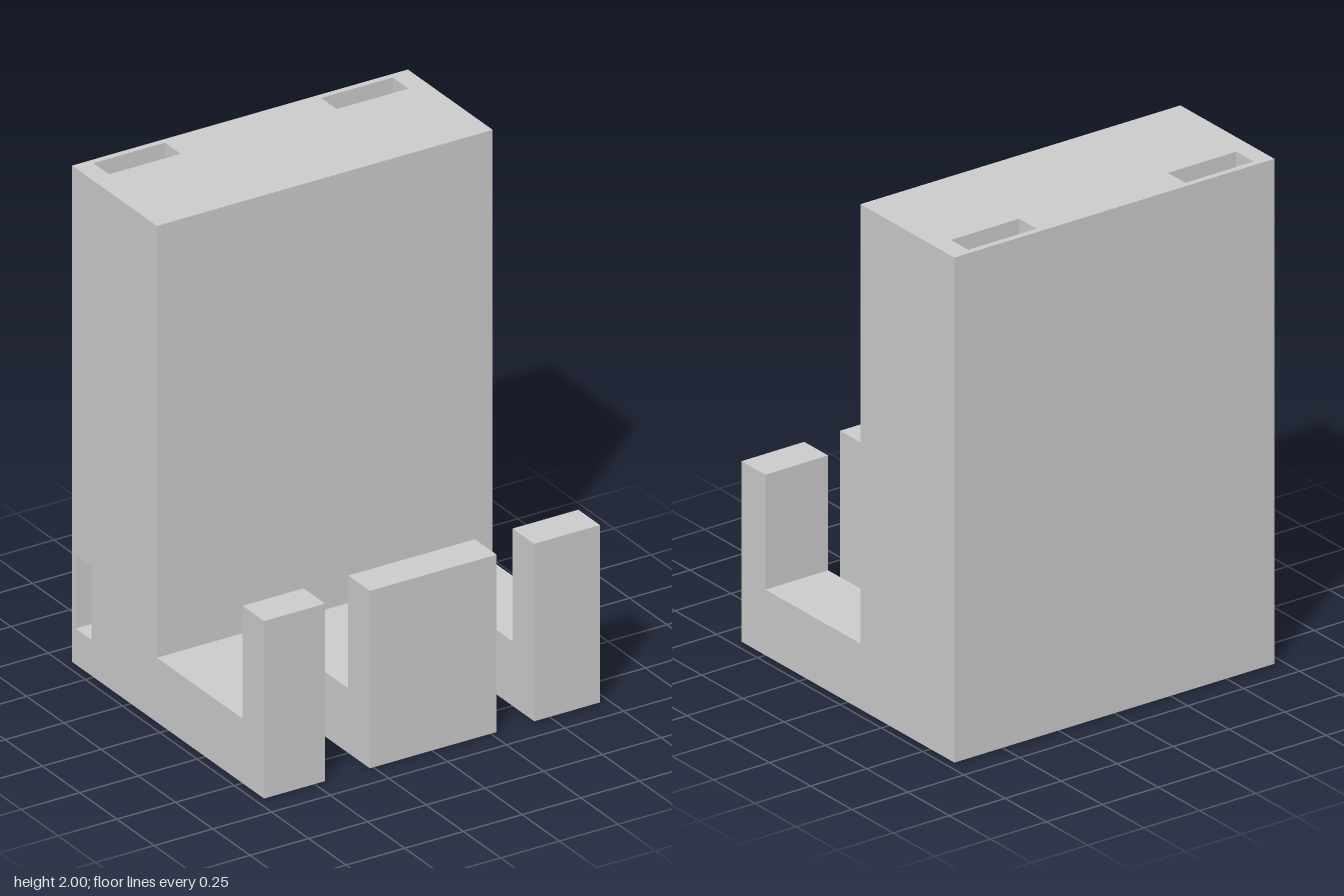
import * as THREE from 'three';
import { toCreasedNormals } from 'three/addons/utils/BufferGeometryUtils.js';

const W = 0.715;        // half width
const D = 0.645;        // half depth
const H = 2;            // tower height
const TOWER_Z = -0.075; // front face of the tower
const FLOOR = 0.26;     // top of the shelf
const LIP = { z: 0.5, top: 0.715 };
const SLOTS = [{ x: -0.36, r: 0.095 }, { x: 0.355, r: 0.08 }];
const SLOT_Z = 0.24;    // centre of the rounded slot ends
// cable channel inside the back of the tower
const CH = { back: -0.62, front: -0.515, bottom: 0.145, top: 0.44 };
const LEG_A = [-0.64, -0.335], LEG_B = [0.33, 0.635];

export function createModel() {
  const group = new THREE.Group();
  const material = new THREE.MeshStandardMaterial({ color: 0xcccccc });

  const add = (name, geometry) => {
    const mesh = new THREE.Mesh(geometry, material);
    mesh.name = name;
    group.add(mesh);
  };

  // box given by its limits on each axis
  const block = (name, x0, x1, y0, y1, z0, z1) => {
    const g = new THREE.BoxGeometry(x1 - x0, y1 - y0, z1 - z0);
    g.translate((x0 + x1) / 2, (y0 + y1) / 2, (z0 + z1) / 2);
    add(name, g);
  };

  // shelf with two round-ended slots open to the front
  const plan = new THREE.Shape();
  plan.moveTo(-W, -D);
  for (const { x, r } of SLOTS) {
    plan.lineTo(x - r, -D);
    plan.lineTo(x - r, -SLOT_Z);
    plan.absarc(x, -SLOT_Z, r, Math.PI, 0, true);
    plan.lineTo(x + r, -D);
  }
  plan.lineTo(W, -D);
  plan.lineTo(W, -TOWER_Z);
  plan.lineTo(-W, -TOWER_Z);
  plan.closePath();
  const shelf = new THREE.ExtrudeGeometry(plan, { depth: FLOOR, bevelEnabled: false, curveSegments: 24 });
  shelf.rotateX(-Math.PI / 2);
  add('shelf', toCreasedNormals(shelf, 0.5));

  // upright lip, divided by the slots
  const edges = [-W, ...SLOTS.flatMap(({ x, r }) => [x - r, x + r]), W];
  for (let i = 0; i < edges.length; i += 2) {
    block('frontLip', edges[i], edges[i + 1], FLOOR, LIP.top, LIP.z, D);
  }

  // tower in front of and behind the channel
  block('towerFront', -W, W, 0, H, CH.front, TOWER_Z);
  block('towerBack', -W, W, 0, H, -D, CH.back);

  // middle layer: two channels from the top join one that leaves by the side
  block('channelOuterWall', -W, LEG_A[0], CH.top, H, CH.back, CH.front);
  block('channelCore', LEG_A[1], LEG_B[0], CH.top, H, CH.back, CH.front);
  const bed = new THREE.Shape([
    [-W, 0], [W, 0], [W, H], [LEG_B[1], H], [LEG_B[1], CH.bottom], [-W, CH.bottom],
  ].map(([x, y]) => new THREE.Vector2(x, y)));
  const bedGeometry = new THREE.ExtrudeGeometry(bed, { depth: CH.front - CH.back, bevelEnabled: false });
  bedGeometry.translate(0, 0, CH.back);
  add('channelBed', bedGeometry);

  return group;
}
